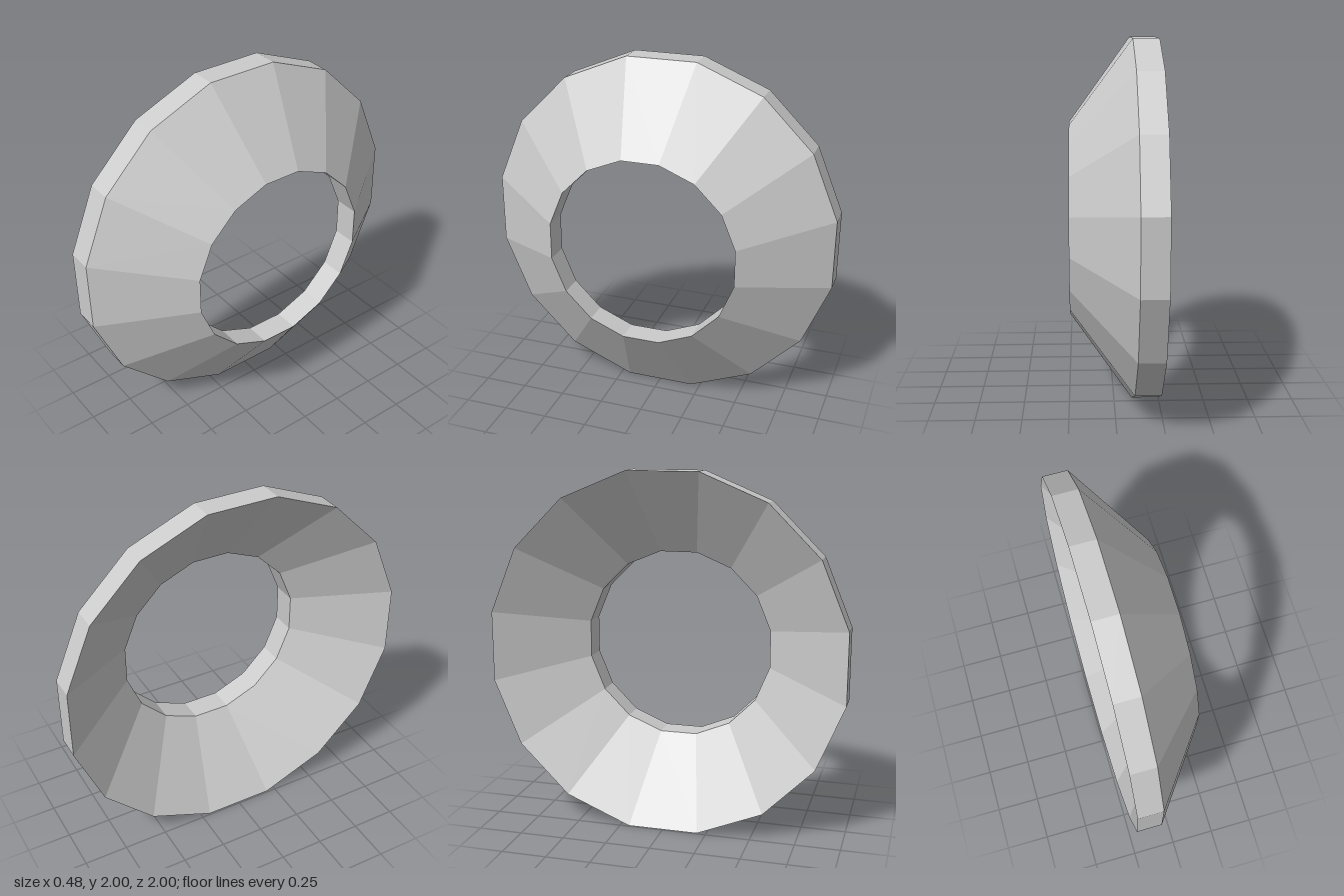
import * as THREE from 'three';

const SIDES = 16;
const toCorner = 1 / Math.cos(Math.PI / SIDES); // flat-side radius to corner radius

export function createModel() {
  const group = new THREE.Group();
  group.name = 'conicalRing';

  const outer = 1 * toCorner;
  const inner = 0.532 * toCorner;

  // Closed cross-section: rim band, outer cone, hole wall, dished back
  const profile = [
    [outer, -0.242],
    [outer, -0.1],
    [inner, 0.242],
    [inner, 0.1],
    [outer, -0.242],
  ].map(([r, h]) => new THREE.Vector2(r, h));

  // Half-step start puts flat sides at top and bottom
  const geometry = new THREE.LatheGeometry(profile, SIDES, Math.PI / SIDES);
  geometry.rotateZ(-Math.PI / 2); // axis along x, narrow end towards +x
  geometry.translate(0, 1, 0);

  const ring = new THREE.Mesh(
    geometry,
    new THREE.MeshStandardMaterial({ color: 0xcccccc, flatShading: true })
  );
  ring.name = 'dishedRing';
  group.add(ring);
  return group;
}
